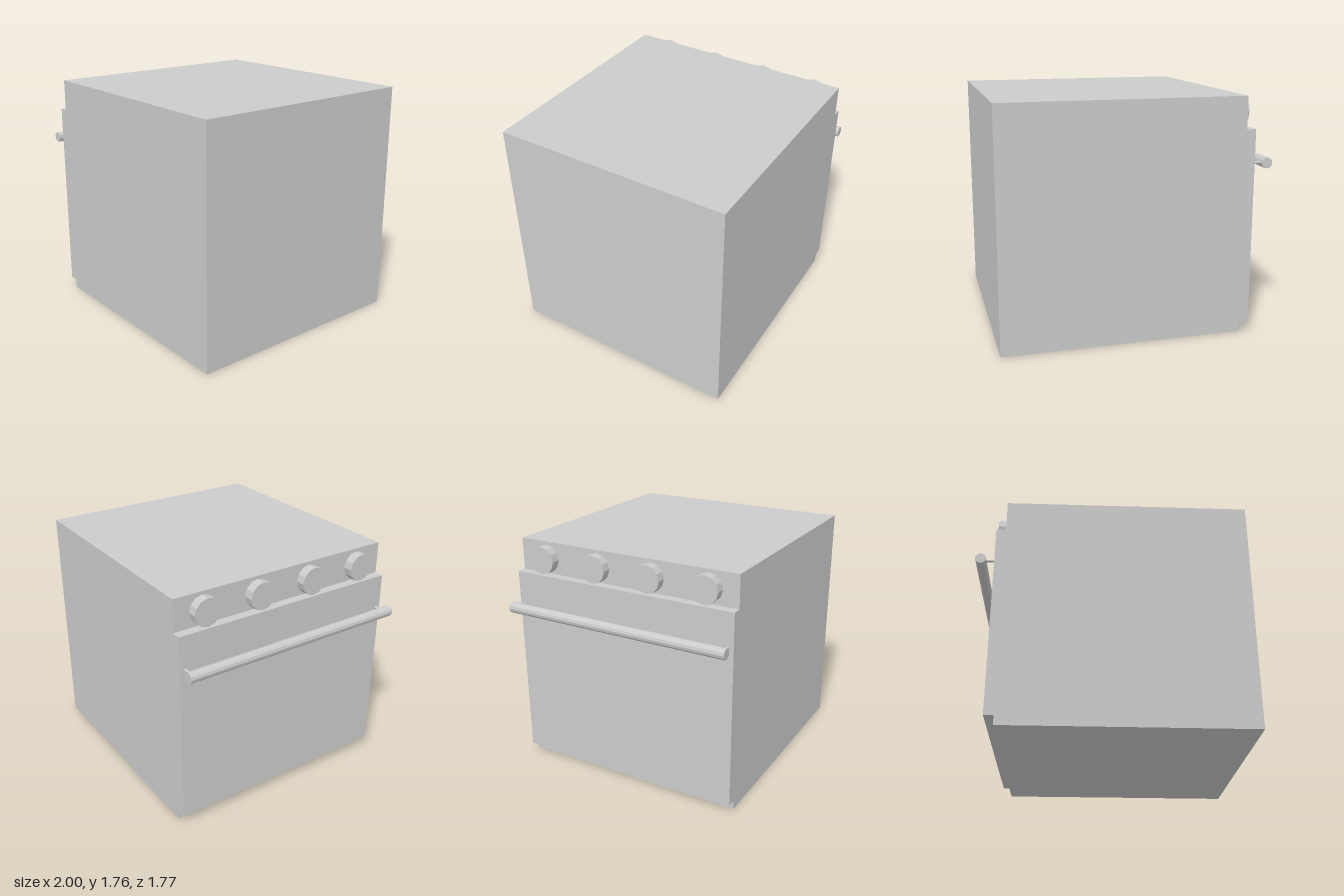
import * as THREE from 'three';

export function createModel() {
  const model = new THREE.Group();
  const material = new THREE.MeshStandardMaterial({ color: 0xcccccc, flatShading: true });

  function add(name, geometry, x, y, z, parent = model) {
    const mesh = new THREE.Mesh(geometry, material);
    mesh.name = name;
    mesh.position.set(x, y, z);
    parent.add(mesh);
    return mesh;
  }

  const depth = 1.77;
  const front = -0.79; // plane of the control panel, facing -x

  // Oven cabinet and the door standing proud of it
  add('cabinet', new THREE.BoxGeometry(1.79, 1.765, depth), 0.105, 0.8825, 0);
  add('door', new THREE.BoxGeometry(0.07, 1.457, depth), front - 0.035, 0.7985, 0);

  // Row of control knobs above the door
  const knob = new THREE.CylinderGeometry(0.102, 0.102, 0.07, 12).rotateZ(Math.PI / 2);
  for (let i = 0; i < 4; i++) {
    add('knob', knob, front - 0.035, 1.64, (i - 1.5) * 0.441);
  }

  // Door handle: a long bar on two thin posts
  const handle = new THREE.Group();
  handle.name = 'handle';
  model.add(handle);
  const bar = new THREE.CylinderGeometry(0.04, 0.04, 1.765, 12).rotateX(Math.PI / 2);
  add('handleBar', bar, -0.96, 1.277, 0, handle);
  const post = new THREE.CylinderGeometry(0.01, 0.01, 0.1, 12).rotateZ(Math.PI / 2);
  for (const side of [-1, 1]) {
    add('handlePost', post, -0.91, 1.277, side * 0.843, handle);
  }

  return model;
}
